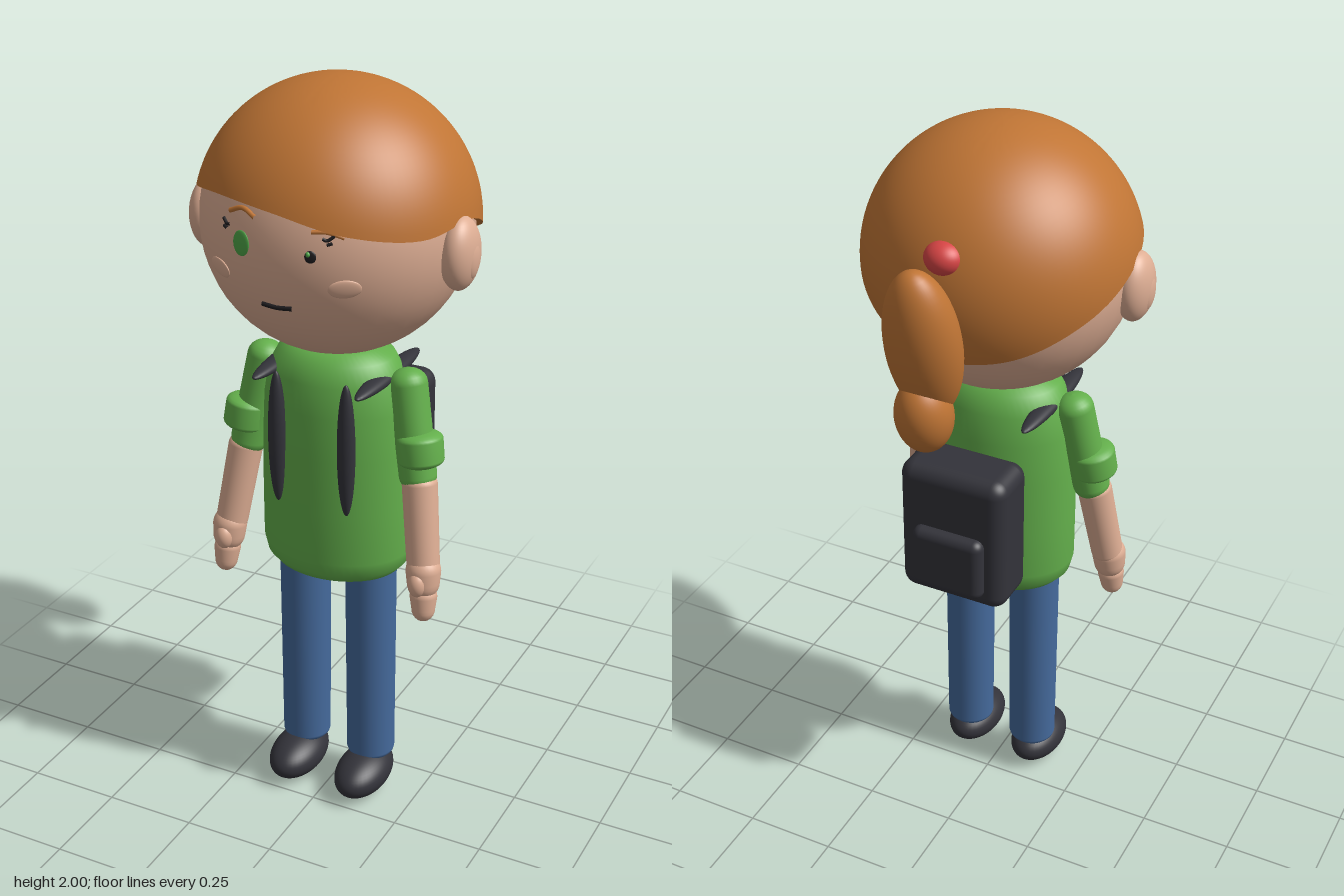
import * as THREE from 'three';
import { toCreasedNormals } from 'three/addons/utils/BufferGeometryUtils.js';
import { RoundedBoxGeometry } from 'three/addons/geometries/RoundedBoxGeometry.js';

const material = (name, color) => {
  const m = new THREE.MeshStandardMaterial({ color });
  m.name = name;
  return m;
};
const V = (p) => new THREE.Vector3(...p);
const HEAD = { y: 1.65, z: 0.083, r: 0.34 };

export function createModel() {
  const model = new THREE.Group();
  model.name = 'schoolChild';

  const hair = material('hairGinger', 0xc07535);
  const skin = material('skin', 0xdeae94);
  const shirt = material('shirtGreen', 0x64b04c);
  const jeans = material('jeansBlue', 0x456a9c);
  const charcoal = material('charcoal', 0x33333a);
  const red = material('hairTieRed', 0xd84545);
  const green = material('eyeGreen', 0x4fa648);
  const black = material('featureBlack', 0x1e1c1e);

  const add = (name, geometry, mat, pos = [0, 0, 0], parent = model) => {
    const mesh = new THREE.Mesh(geometry, mat);
    mesh.name = name;
    mesh.position.set(...pos);
    parent.add(mesh);
    return mesh;
  };
  const ellipsoid = (name, mat, pos, radii, tiltX = 0, parent = model) => {
    const mesh = add(name, new THREE.SphereGeometry(1, 40, 28), mat, pos, parent);
    mesh.scale.set(...radii);
    mesh.rotation.x = tiltX;
    return mesh;
  };
  // Round limb segment between two points, with domed ends
  const limb = (name, mat, from, to, r0, r1, dome, parent = model) => {
    const a = V(from), b = V(to), len = a.distanceTo(b);
    const profile = [];
    for (let i = 0; i <= 6; i++) {
      const t = (i / 6) * Math.PI / 2;
      profile.push(new THREE.Vector2(r0 * Math.sin(t), dome * (1 - Math.cos(t))));
    }
    for (let i = 0; i <= 6; i++) {
      const t = (i / 6) * Math.PI / 2;
      profile.push(new THREE.Vector2(r1 * Math.cos(t), len - dome * (1 - Math.sin(t))));
    }
    const mesh = add(name, new THREE.LatheGeometry(profile, 32), mat, from, parent);
    mesh.quaternion.setFromUnitVectors(new THREE.Vector3(0, 1, 0), b.sub(a).normalize());
    return mesh;
  };

  // Head
  const head = new THREE.Group();
  head.name = 'head';
  model.add(head);
  ellipsoid('face', skin, [0, HEAD.y, HEAD.z], [HEAD.r, HEAD.r, HEAD.r], 0, head);

  // Hair cap: a sphere cut along a wavy hairline, its last row turned inward
  const hairline = new THREE.SplineCurve(
    [1.50, 1.53, 1.61, 1.69, 1.735, 1.765, 1.757, 1.715, 1.688, 1.695, 1.62, 1.54, 1.50]
      .map((y, i) => new THREE.Vector2(i, y)));
  const rows = 28, cols = 96;
  const cap = new THREE.SphereGeometry(1, cols, rows, 0, Math.PI * 2, 0, 3);
  const pos = cap.attributes.position;
  for (let j = 0; j <= rows; j++) {
    for (let i = 0; i <= cols; i++) {
      const a = -Math.PI + (i % cols) / cols * Math.PI * 2;
      const edge = Math.acos((hairline.getPoint((i % cols) / cols).y - HEAD.y) / 0.35);
      const theta = edge * Math.min(1, j / (rows - 1));
      const s = j === rows ? 0.93 : 1;
      pos.setXYZ(j * (cols + 1) + i, 0.355 * s * Math.sin(theta) * Math.sin(a),
        0.35 * (j === rows ? 0.98 : 1) * Math.cos(theta), 0.35 * s * Math.sin(theta) * Math.cos(a));
    }
  }
  add('hairCap', toCreasedNormals(cap, 0.8), hair, [0, HEAD.y, HEAD.z], head);

  // Ponytail and hair tie
  ellipsoid('ponytail', hair, [0, 1.6, -0.335], [0.095, 0.215, 0.085], -0.23, head);
  ellipsoid('ponytailTip', hair, [0, 1.41, -0.338], [0.072, 0.105, 0.075], -0.25, head);
  ellipsoid('hairTie', red, [0, 1.775, -0.225], [0.05, 0.042, 0.046], 0, head);

  // Facial features laid on the head's surface
  const onFace = (x, y, lift = 0) => {
    const dy = y - HEAD.y;
    const n = new THREE.Vector3(x, dy, Math.sqrt(HEAD.r ** 2 - x * x - dy * dy)).normalize();
    return { n, p: n.clone().multiplyScalar(HEAD.r + lift).add(V([0, HEAD.y, HEAD.z])) };
  };
  const spot = (name, mat, x, y, rx, ry, depth) => {
    const { n, p } = onFace(x, y);
    const mesh = ellipsoid(name, mat, p.toArray(), [rx, ry, depth], 0, head);
    mesh.quaternion.setFromUnitVectors(new THREE.Vector3(0, 0, 1), n);
  };
  const stroke = (name, mat, points, r) => {
    const curve = new THREE.CatmullRomCurve3(points.map(([x, y]) => onFace(x, y, 0.001).p));
    add(name, new THREE.TubeGeometry(curve, 12, r, 8), mat, [0, 0, 0], head);
  };
  spot('rightIris', green, -0.085, 1.67, 0.025, 0.031, 0.005);
  spot('leftPupil', black, 0.095, 1.664, 0.014, 0.015, 0.004);
  spot('leftIris', green, 0.09, 1.67, 0.006, 0.007, 0.007);
  stroke('rightBrow', hair, [[-0.125, 1.737], [-0.085, 1.751], [-0.048, 1.737]], 0.006);
  stroke('leftBrow', hair, [[0.095, 1.722], [0.13, 1.722], [0.165, 1.71]], 0.005);
  stroke('mouth', black, [[-0.04, 1.523], [0, 1.52], [0.04, 1.523]], 0.006);
  for (const s of [-1, 1]) {
    stroke('lash', black, [[s * 0.145, 1.715], [s * 0.13, 1.704], [s * 0.12, 1.708]], 0.004);
    stroke('lash', black, [[s * 0.142, 1.698], [s * 0.13, 1.694]], 0.004);
    spot('cheek', skin, s * 0.165, 1.585, 0.04, 0.024, 0.006);
    ellipsoid('ear', skin, [s * 0.343, 1.62, 0.12], [0.046, 0.092, 0.07], 0, head);
    ellipsoid('innerEar', skin, [s * 0.373, 1.613, 0.122], [0.018, 0.052, 0.034], 0, head);
  }

  // Shirt body
  const torsoProfile = [[0, 0.688], [0.14, 0.69], [0.175, 0.7], [0.195, 0.722], [0.204, 0.76],
    [0.204, 0.9], [0.202, 1.05], [0.196, 1.17], [0.182, 1.25], [0.155, 1.3], [0.11, 1.325], [0, 1.335]];
  const torso = add('shirtBody',
    new THREE.LatheGeometry(torsoProfile.map((p) => new THREE.Vector2(...p)), 56), shirt, [0, 0, 0.092]);
  torso.scale.z = 0.78;

  for (const s of [-1, 1]) {
    // Arm
    const arm = new THREE.Group();
    arm.name = s > 0 ? 'leftArm' : 'rightArm';
    model.add(arm);
    limb('sleeve', shirt, [s * 0.252, 0.97, 0.128], [s * 0.195, 1.285, 0.093], 0.049, 0.05, 0.04, arm);
    limb('sleeveCuff', shirt, [s * 0.256, 1.035, 0.127], [s * 0.243, 1.132, 0.117], 0.06, 0.06, 0.022, arm);
    limb('forearm', skin, [s * 0.286, 0.75, 0.168], [s * 0.249, 1.02, 0.125], 0.043, 0.046, 0.03, arm);
    limb('palm', skin, [s * 0.29, 0.69, 0.178], [s * 0.283, 0.81, 0.165], 0.043, 0.046, 0.045, arm);
    limb('fingers', skin, [s * 0.295, 0.627, 0.187], [s * 0.289, 0.73, 0.174], 0.031, 0.036, 0.035, arm);
    ellipsoid('thumb', skin, [s * 0.284, 0.74, 0.205], [0.024, 0.034, 0.024], 0, arm);

    // Leg and shoe
    limb('leg', jeans, [s * 0.1, 0.09, 0.092], [s * 0.098, 0.76, 0.092], 0.066, 0.069, 0.03);
    ellipsoid('shoe', charcoal, [s * 0.102, 0.063, 0.138], [0.072, 0.058, 0.116], 0.04);

    // Backpack straps: one down the chest, one over the shoulder
    ellipsoid('chestStrap', charcoal, [s * 0.098, 1.092, 0.236], [0.024, 0.182, 0.021]);
    ellipsoid('shoulderStrap', charcoal, [s * 0.143, 1.257, 0.091], [0.029, 0.018, 0.18]);
  }

  // Backpack
  add('backpack', new RoundedBoxGeometry(0.3, 0.39, 0.16, 6, 0.04), charcoal, [0, 0.965, -0.14]);
  add('backpackPocket', new RoundedBoxGeometry(0.2, 0.18, 0.07, 5, 0.025), charcoal, [0, 0.9, -0.215]);

  return model;
}
